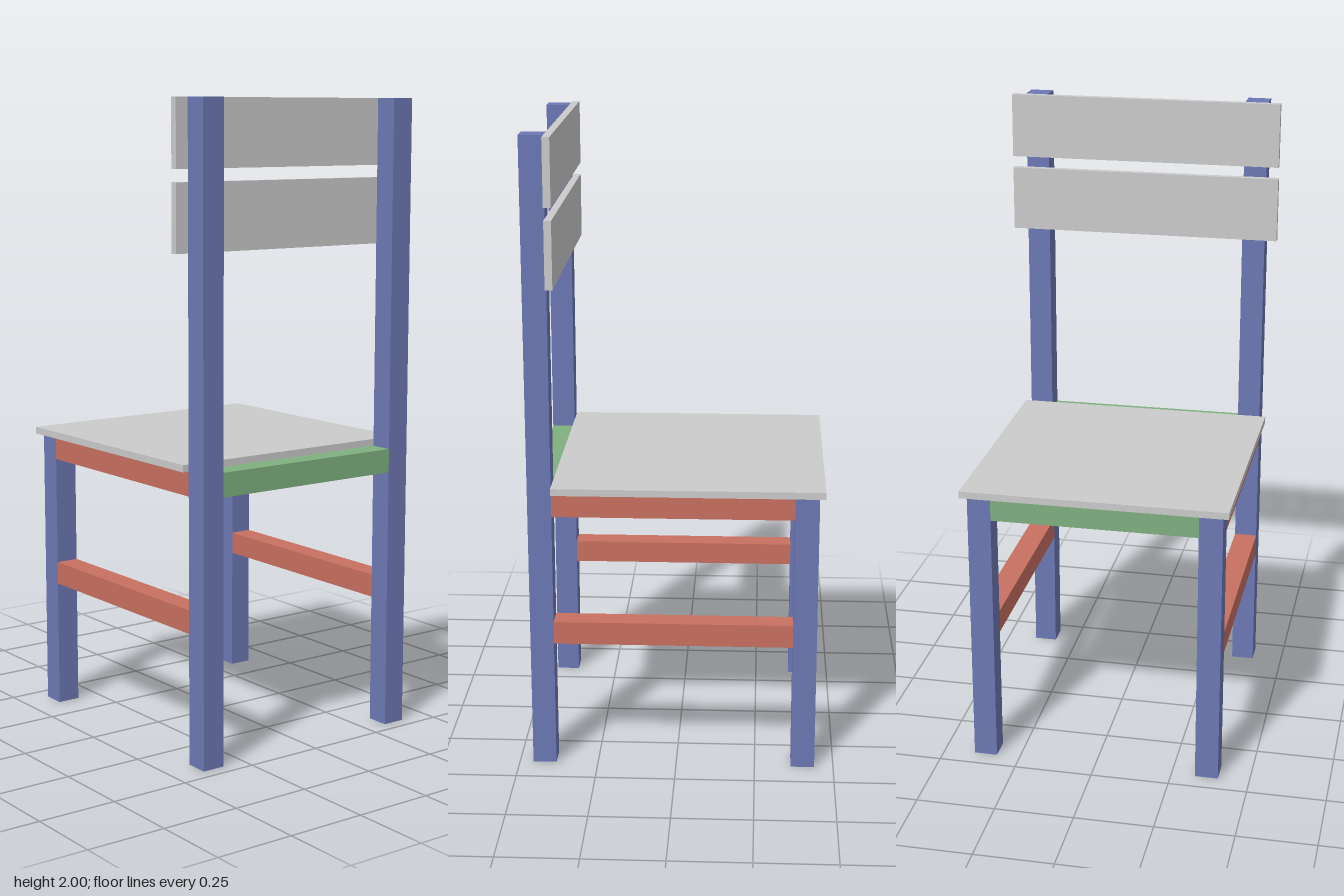
import * as THREE from 'three';

const material = (color) => new THREE.MeshStandardMaterial({ color });

export function createModel() {
  const chair = new THREE.Group();
  chair.name = 'chair';

  const grey = material(0xcccccc);
  const blue = material(0x6c78b4);
  const red = material(0xc87060);
  const green = material(0x80b080);
  const ochre = material(0xc09a40);

  // Plank spanning the given [min, max] ranges
  function plank(name, mat, [x0, x1], [y0, y1], [z0, z1]) {
    const mesh = new THREE.Mesh(new THREE.BoxGeometry(x1 - x0, y1 - y0, z1 - z0), mat);
    mesh.position.set((x0 + x1) / 2, (y0 + y1) / 2, (z0 + z1) / 2);
    mesh.name = name;
    chair.add(mesh);
  }

  const frontX = [-0.44, -0.365]; // short legs
  const backX = [0.383, 0.457]; // tall posts
  const apronY = [0.831, 0.906]; // bars under the seat
  const between = [-0.326, 0.326];

  // Legs and side rails, mirrored across z
  for (const [side, z] of [['Near', [0.326, 0.4]], ['Far', [-0.4, -0.326]]]) {
    plank('frontLeg' + side, blue, frontX, [0, 0.906], z);
    plank('backPost' + side, blue, backX, [0, 2], z);
    plank('seatRail' + side, red, [frontX[1], backX[0]], apronY, z);
    plank('stretcher' + side, red, [frontX[1], backX[0]], [0.41, 0.483], z);
  }

  // Cross rails between the legs
  plank('frontCrossRail', green, frontX, apronY, between);
  plank('backCrossRail', green, backX, apronY, between);

  // Bar carrying the rear edge of the seat
  plank('seatSupport', ochre, [0.308, 0.383], apronY, between);

  // Seat board
  plank('seat', grey, [-0.458, 0.383], [0.906, 0.928], [-0.42, 0.42]);

  // Backrest slats
  plank('lowerBackSlat', grey, [0.36, 0.383], [1.551, 1.757], [-0.442, 0.442]);
  plank('upperBackSlat', grey, [0.36, 0.383], [1.795, 2], [-0.442, 0.442]);

  return chair;
}
